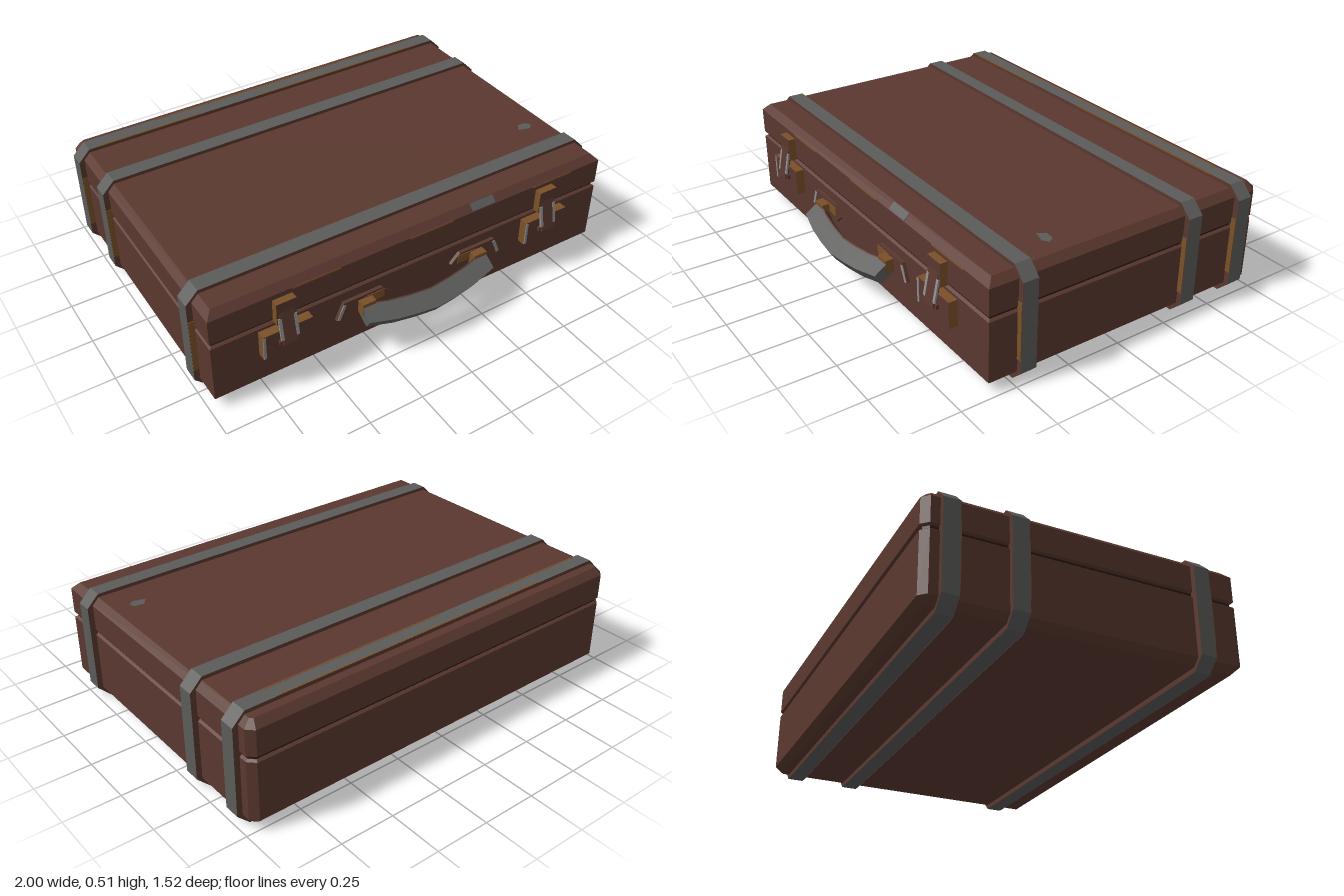
import * as THREE from 'three';

const mat = (name, color) => {
  const m = new THREE.MeshStandardMaterial({ color });
  m.name = name;
  return m;
};

// Closed shape from [x, y] pairs
const poly = (pts, Type = THREE.Shape) => new Type(pts.map(p => new THREE.Vector2(...p)));

// Rectangle with cut corners
const cutRect = (w, y0, y1, c) => [
  [-w + c, y0], [w - c, y0], [w, y0 + c], [w, y1 - c],
  [w - c, y1], [-w + c, y1], [-w, y1 - c], [-w, y0 + c],
];

const extrude = (shape, depth) => new THREE.ExtrudeGeometry(shape, { depth, bevelEnabled: false });

// Case outline at an inset: square front corners, cut rear corners
const outline = i => {
  const w = 0.975 - i, f = 0.612 - i, b = -0.76 + i;
  const side = -0.73 + 0.4 * i, rear = 0.945 - 0.4 * i;
  return [[w, f], [w, side], [rear, b], [-rear, b], [-w, side], [-w, f]];
};

// Solid through a stack of [height, inset] levels, with flat faces
function caseShell(levels) {
  const rings = levels.map(([y, i]) => outline(i).map(([x, z]) => [x, y, z]));
  const v = [], n = 6;
  for (let k = 0; k < rings.length - 1; k++) {
    for (let j = 0; j < n; j++) {
      const a = rings[k][j], b = rings[k][(j + 1) % n];
      const c = rings[k + 1][(j + 1) % n], d = rings[k + 1][j];
      v.push(...a, ...b, ...c, ...a, ...c, ...d);
    }
  }
  const lo = rings[0], hi = rings[rings.length - 1];
  for (let j = 1; j < n - 1; j++) {
    v.push(...hi[0], ...hi[j], ...hi[j + 1], ...lo[0], ...lo[j + 1], ...lo[j]);
  }
  const g = new THREE.BufferGeometry();
  g.setAttribute('position', new THREE.Float32BufferAttribute(v, 3));
  g.computeVertexNormals();
  return g;
}

export function createModel() {
  const model = new THREE.Group();
  model.name = 'suitcase';
  const leather = mat('brown leather', 0x5a382f);
  const seamDark = mat('dark seam', 0x2e1b16);
  const steel = mat('grey strap', 0x5b5b5a);
  const brass = mat('aged brass', 0x7a5028);
  const worn = mat('worn metal', 0x8f8f90);

  const add = (name, geometry, material, x = 0, y = 0, z = 0, parent = model) => {
    const m = new THREE.Mesh(geometry, material);
    m.name = name;
    m.position.set(x, y, z);
    parent.add(m);
    return m;
  };
  const box = (name, size, material, pos, parent) =>
    add(name, new THREE.BoxGeometry(...size), material, ...pos, parent);

  // Case halves with a recessed seam between them
  add('lowerCase', caseShell([[0.022, 0.03], [0.052, 0], [0.322, 0], [0.33, 0.01]]), leather);
  add('seam', caseShell([[0.328, 0.012], [0.344, 0.012]]), seamDark);
  add('lid', caseShell([[0.342, 0.01], [0.348, 0], [0.465, 0], [0.496, 0.03]]), leather);

  // Straps wrapped around the case
  for (const z of [0.445, -0.375, -0.655]) {
    const ring = poly(cutRect(1, 0, 0.512, 0.055));
    ring.holes.push(poly(cutRect(0.965, 0.03, 0.488, 0.035), THREE.Path));
    add('strap', extrude(ring, 0.072), [leather, steel], 0, 0, z - 0.036);
    // Worn brass edging at the strap sides
    for (const s of [-1, 1]) {
      box('strapEdge', [0.026, 0.26, 0.004], brass, [s * 0.986, 0.24, z + 0.037]);
    }
    box('strapLowerEdge', [1.86, 0.02, 0.003], worn, [0, 0.011, z + 0.037]);
  }

  // Brass lining showing along the rear strap
  for (const [x, z, w] of [[-0.65, -0.622, 0.5], [0.38, -0.622, 0.9], [0.1, -0.687, 1.4]]) {
    box('strapTrim', [w, 0.004, 0.007], brass, [x, 0.511, z]);
  }

  // Latches
  for (const s of [-1, 1]) {
    const latch = new THREE.Group();
    latch.name = 'latch';
    latch.position.set(s * 0.657, 0, 0.61);
    model.add(latch);
    const faced = [brass, brass, brass, brass, leather, brass];
    box('latchPlate', [0.225, 0.12, 0.042], faced, [0, 0.25, 0.021], latch);
    box('hasp', [0.09, 0.105, 0.035], faced, [0, 0.39, 0.0175], latch);
    const neck = box('haspNeck', [0.068, 0.15, 0.016], leather, [0, 0.32, 0.042], latch);
    neck.rotation.x = -0.2;
    box('haspTip', [0.09, 0.02, 0.014], leather, [0, 0.255, 0.048], latch);
    for (const e of [-1, 1]) {
      const edge = box('neckWear', [0.014, 0.1, 0.008], worn, [e * 0.034, 0.32, 0.047], latch);
      edge.rotation.x = -0.2;
    }
    box('plateWear', [0.012, 0.11, 0.004], worn, [-0.107, 0.25, 0.042], latch);
  }

  // Handle mounts and arms
  const mount = [[0.42, 0.2], [0.385, 0.28], [0.2, 0.28], [0.155, 0.235], [0.2, 0.195]];
  for (const s of [-1, 1]) {
    const pts = mount.map(([x, y]) => [s * x, y]);
    add('handleMount', extrude(poly(pts), 0.02), leather, 0, 0, 0.608);
    box('handleArm', [0.065, 0.06, 0.05], brass, [s * 0.285, 0.235, 0.64]);
    box('mountTrim', [0.09, 0.04, 0.004], brass, [s * 0.235, 0.25, 0.629]);
    const chip = box('mountWear', [0.014, 0.075, 0.004], worn, [s * 0.397, 0.235, 0.629]);
    chip.rotation.z = s * 0.4;
  }

  // Curved grip hanging outward, with a leather inner face
  const handle = new THREE.Group();
  handle.name = 'handle';
  handle.position.set(0, 0.185, 0.66);
  handle.rotation.x = -0.985;
  model.add(handle);
  const arc = [[-0.317, 0.054], [-0.2, 0.024], [-0.1, 0.009], [0, 0], [0.1, 0.009], [0.2, 0.024], [0.317, 0.054]];
  const band = (from, to) => poly([
    ...arc.map(([x, y]) => [x, y + from]),
    ...arc.map(([x, y]) => [x, y + to]).reverse(),
  ]);
  add('grip', extrude(band(-0.088, -0.006), 0.055), steel, 0, 0, 0, handle);
  add('gripLining', extrude(band(-0.006, 0), 0.055), leather, 0, 0, 0, handle);

  // Scuffs on the lid and its front bevel
  const scuff = poly([[0.795, -0.27], [0.82, -0.235], [0.86, -0.24], [0.875, -0.265], [0.85, -0.285]]);
  add('lidScuff', extrude(scuff, 0.002), steel, 0, 0.496, 0).rotation.x = -Math.PI / 2;
  const bevel = box('bevelScuff', [0.12, 0.036, 0.003], steel, [0.325, 0.481, 0.597]);
  bevel.rotation.x = -Math.PI / 4;
  for (const x of [-0.5, 0.05, 0.7]) {
    box('bevelTrim', [0.22, 0.007, 0.003], brass, [x, 0.462, 0.612]);
  }
  return model;
}
